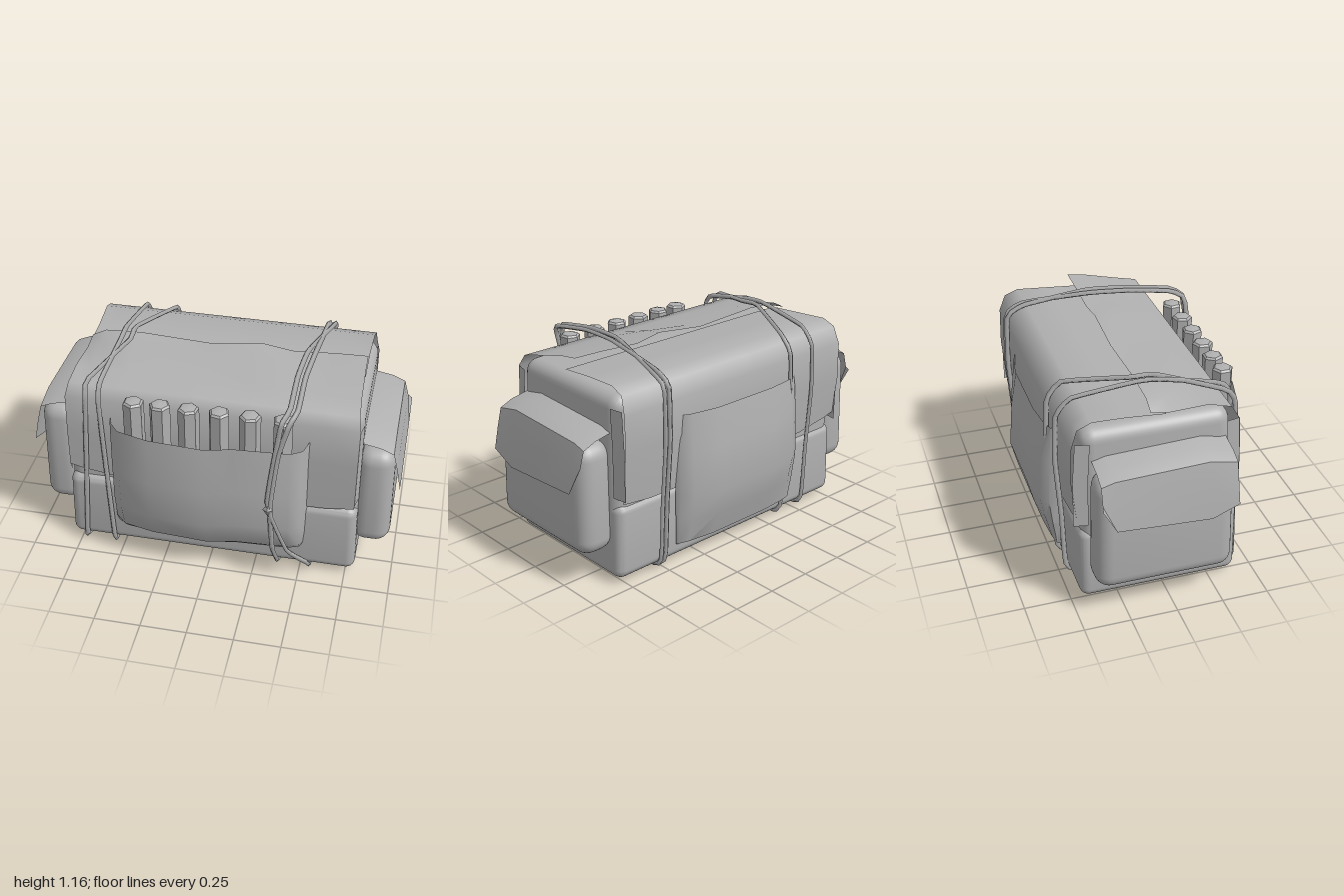
import * as THREE from 'three';
import { toCreasedNormals } from 'three/addons/utils/BufferGeometryUtils.js';
import { RoundedBoxGeometry } from 'three/addons/geometries/RoundedBoxGeometry.js';

const canvas = new THREE.MeshStandardMaterial({ color: 0xb0b0b0, side: THREE.DoubleSide });
canvas.name = 'grey canvas';

function add(parent, name, geometry) {
  const mesh = new THREE.Mesh(geometry, canvas);
  mesh.name = name;
  parent.add(mesh);
  return mesh;
}

// Cloth sheet through columns of [x, y, z] points
function sheet(columns) {
  const n = columns[0].length, index = [];
  for (let i = 0; i < columns.length - 1; i++) {
    for (let j = 0; j < n - 1; j++) {
      const a = i * n + j, b = a + n;
      index.push(a, b, a + 1, b, b + 1, a + 1);
    }
  }
  const g = new THREE.BufferGeometry();
  g.setAttribute('position', new THREE.Float32BufferAttribute(columns.flat(2), 3));
  g.setIndex(index);
  g.computeVertexNormals();
  return toCreasedNormals(g, 0.9);
}

// Soft box whose vertices are moved by a rule
function softBox(w, h, d, r, rule) {
  const g = new RoundedBoxGeometry(w, h, d, 4, r);
  const p = g.attributes.position, v = new THREE.Vector3();
  for (let i = 0; i < p.count; i++) {
    v.fromBufferAttribute(p, i);
    rule(v);
    p.setXYZ(i, v.x, v.y, v.z);
  }
  return toCreasedNormals(g, 0.8);
}

// Panel bulging out from the bag: outline [x, z] bent by profile [y, bulge factor]
function panel(outline, profile, base) {
  return sheet(outline.map(([x, z]) => profile.map(([y, f]) =>
    [x * (0.97 + 0.03 * f), y + 0.025 * Math.abs(x) * (1 - f), base + (z - base) * f])));
}

// Cord loop running round the bag
function cord(parent, points) {
  const curve = new THREE.CatmullRomCurve3(points.map(p => new THREE.Vector3(...p)), true, 'catmullrom', 0.2);
  add(parent, 'strap', new THREE.TubeGeometry(curve, 90, 0.014, 4, true));
}

export function createModel() {
  const bag = new THREE.Group();
  bag.name = 'fieldPack';

  // Main body, slightly deeper at the foot
  add(bag, 'body', softBox(1.57, 1.0, 0.82, 0.07, v => {
    const t = 0.5 - v.y;
    v.x *= 1 + 0.02 * t;
    if (v.z > 0) v.z -= 0.045 * (1 - t);
  })).position.set(0, 0.53, -0.03);

  // Lower wrap
  add(bag, 'lowerWrap', softBox(1.6, 0.42, 0.85, 0.05, v => {
    if (v.y > 0) v.x *= 0.99;
  })).position.set(0, 0.24, -0.03);

  // Overlapping top covers: [x, front hem height, crown height]
  const cover = new THREE.Group();
  cover.name = 'topCover';
  bag.add(cover);
  const stations = [[-0.78, 0.53, 1.07], [-0.7, 0.51, 1.11], [-0.5, 0.48, 1.12], [-0.1, 0.47, 1.1],
    [0.2, 0.46, 1.135], [0.36, 0.45, 1.11], [0.6, 0.45, 1.125], [0.775, 0.47, 1.13]];
  add(cover, 'frontCover', sheet(stations.map(([x, hem, h]) => [
    [x, hem, 0.392], [x, 0.75, 0.392], [x, 0.97, 0.38], [x * 0.985, 1.035, 0.34],
    [x * 0.975, 1.065, 0.22], [x * 0.97, h - 0.015, 0.02], [x * 0.97, h, -0.08]])));
  add(cover, 'backCover', sheet(stations.map(([x, hem]) => [
    [x * 0.97, 1.05, 0], [x * 0.97, 1.065, -0.2], [x * 0.98, 1.075, -0.38], [x * 0.985, 1.045, -0.455],
    [x, 0.95, -0.488], [x, 0.75, -0.492], [x, hem, -0.468]])));
  // Cover folds over the upper ends
  for (const s of [-1, 1]) {
    for (const [z, zi] of [[0.392, 0.32], [-0.485, -0.41]]) {
      add(cover, 'endFold', sheet([[z, 0.775], [zi, 0.79]].map(([zz, x]) =>
        [[s * x, 0.49, zz], [s * x, 0.75, zz], [s * x, 0.97, zz * 0.97]])));
    }
  }

  // Side pockets with drooping flaps
  for (const s of [-1, 1]) {
    const pocket = new THREE.Group();
    pocket.name = s > 0 ? 'leftPocket' : 'rightPocket';
    bag.add(pocket);
    const top = s > 0 ? 0.79 : 0.83;
    const h = top - 0.19;
    add(pocket, 'pouch', softBox(0.2, h, 0.73, 0.08, v => {
      if (v.x * s > 0) v.x += s * 0.03 * (0.3 - v.y) * (1 - Math.abs(v.z) * 1.5);
      v.z *= 1 - 0.06 * Math.max(0, v.y / h);
    })).position.set(s * 0.86, 0.19 + h / 2, s > 0 ? -0.03 : -0.05);
    const lift = s > 0 ? 0 : 0.03;
    const flap = [[0.31, -0.02, 0.58], [0.17, 0.01, 0.52], [-0.08, 0, 0.535], [-0.32, -0.01, 0.55], [-0.39, -0.03, 0.68]];
    add(pocket, 'flap', sheet(flap.map(([z, dy, hem]) => [
      [s * 0.775, 0.87 + dy + lift, z], [s * 0.88, 0.85 + dy + lift, z], [s * 0.95, 0.82 + dy + lift, z],
      [s * 0.975, 0.7 + lift, z], [s * 0.998, hem + lift, z * 1.01]])));
  }

  // Open front pocket
  add(bag, 'frontPocket', panel(
    [[-0.54, 0.36], [-0.53, 0.43], [-0.47, 0.51], [-0.3, 0.56], [0, 0.58], [0.15, 0.54], [0.44, 0.52], [0.5, 0.48], [0.53, 0.36]],
    [[0.18, 0], [0.165, 0.45], [0.22, 0.75], [0.37, 0.98], [0.6, 1], [0.875, 0.92]], 0.36));

  // Row of sticks standing in the front pocket
  const stick = new THREE.LatheGeometry(
    [[0, 0.22], [0.045, 0.22], [0.056, 0.5], [0.056, 1.03], [0.045, 1.04], [0, 1.05]].map(p => new THREE.Vector2(...p)), 6);
  const stickGeometry = toCreasedNormals(stick, 0.5);
  [-0.39, -0.25, -0.1, 0.06, 0.22, 0.39].forEach((x, i) => {
    const m = add(bag, 'stick', stickGeometry);
    m.position.set(x, 0, 0.44);
    m.rotation.y = i * 0.45;
  });

  // Back panel
  add(bag, 'backPanel', panel(
    [[-0.43, -0.47], [-0.42, -0.52], [-0.36, -0.555], [-0.2, -0.585], [0.2, -0.585], [0.36, -0.54], [0.42, -0.5], [0.43, -0.47]],
    [[0.1, 0], [0.11, 0.35], [0.25, 0.7], [0.4, 1], [0.65, 0.85], [0.85, 0.58]], -0.46));

  // Two cords round the right end
  const straps = new THREE.Group();
  straps.name = 'straps';
  bag.add(straps);
  for (const [backX, frontX, footX] of [[-0.54, -0.59, -0.55], [-0.37, -0.66, -0.71]]) {
    const mid = (backX + frontX) / 2;
    cord(straps, [[footX, 0.06, 0.41], [(frontX + footX) / 2, 0.5, 0.41], [frontX, 0.98, 0.405],
      [frontX, 1.07, 0.35], [mid, 1.135, 0.02], [mid, 1.14, -0.1], [backX, 1.09, -0.42], [backX, 1.0, -0.5],
      [backX, 0.75, -0.51], [backX, 0.4, -0.485], [backX, 0.08, -0.47], [backX, 0.02, -0.4], [footX, 0.02, 0.35]]);
  }
  // Two cords crossing over the front pocket
  for (const [backX, topX, midX, footX] of [[0.5, 0.46, 0.35, 0.38], [0.53, 0.42, 0.335, 0.55]]) {
    cord(straps, [[footX, 0.03, 0.36], [footX, 0.1, 0.45], [(midX + footX) / 2, 0.24, 0.525], [midX, 0.55, 0.55],
      [midX + 0.03, 0.87, 0.53], [topX - 0.03, 1.06, 0.515], [topX, 1.1, 0.44], [topX, 1.14, 0.2], [topX + 0.02, 1.15, -0.04],
      [backX, 1.1, -0.4], [backX, 1.04, -0.5], [backX, 0.75, -0.51], [backX, 0.4, -0.485], [backX, 0.08, -0.47],
      [backX, 0.02, -0.4]]);
  }
  // Knot
  const knot = add(straps, 'knot', new THREE.OctahedronGeometry(0.035));
  knot.position.set(0.34, 0.53, 0.555);
  knot.scale.set(0.8, 1.2, 0.6);

  return bag;
}
